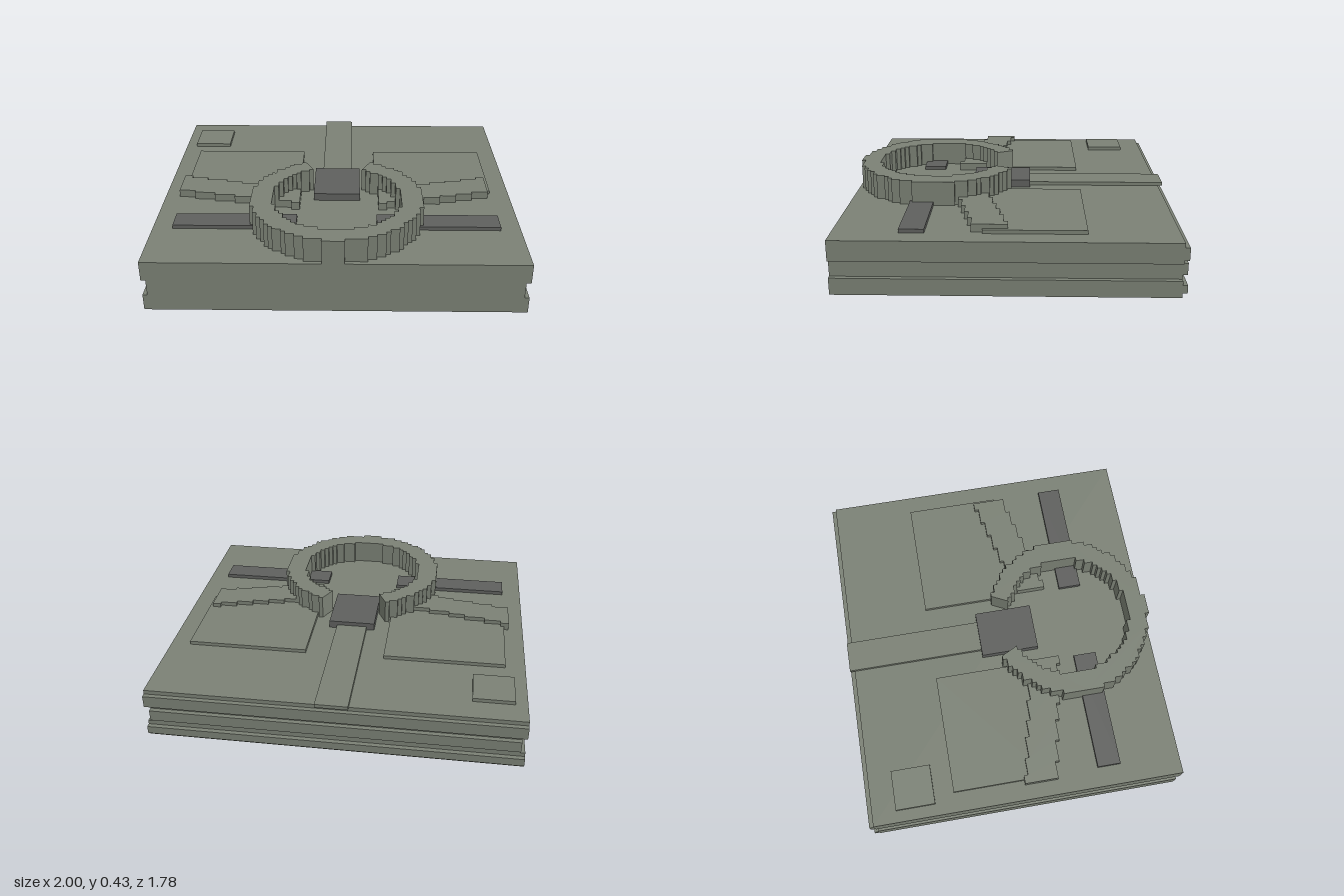
import * as THREE from 'three';

const STEP = 0.0235; // size of the stair steps along curved and sloped edges
const TOP = 0.29;    // upper face of the slab

export function createModel() {
  const stone = new THREE.MeshStandardMaterial({ name: 'grey green', color: 0x7b8175 });
  const dark = new THREE.MeshStandardMaterial({ name: 'dark grey', color: 0x5f605e });
  const model = new THREE.Group();
  model.name = 'plaque';

  const add = (name, geometry, material) => {
    const mesh = new THREE.Mesh(geometry, material);
    mesh.name = name;
    model.add(mesh);
    return mesh;
  };
  // Box given by its limits on each axis
  const block = (name, x0, x1, y0, y1, z0, z1, material = stone) =>
    add(name, new THREE.BoxGeometry(x1 - x0, y1 - y0, z1 - z0), material)
      .position.set((x0 + x1) / 2, (y0 + y1) / 2, (z0 + z1) / 2);

  // Follow a path of (x, z), snapped to a square grid so it runs in stairs
  const stairs = (path, cz, samples = 600) => {
    const out = [];
    let px, pz;
    for (let i = 0; i <= samples; i++) {
      const [x, z] = path(i / samples);
      const gx = Math.round(x / STEP), gz = Math.round((z - cz) / STEP);
      if (gx === px && gz === pz) continue;
      if (i > 0 && gx !== px && gz !== pz) out.push([gx, pz]);
      out.push([gx, gz]);
      px = gx; pz = gz;
    }
    return out.map(([x, z]) => new THREE.Vector2(x * STEP, z * STEP + cz));
  };
  // Plan outline (x, z) raised from the slab to the given height
  const raised = (name, points, height) => {
    const g = new THREE.ExtrudeGeometry(new THREE.Shape(points), { depth: height - TOP, bevelEnabled: false });
    g.rotateX(Math.PI / 2).translate(0, height, 0);
    return add(name, g, stone);
  };

  // Slab with a groove along each side
  const half = [[1, 0], [1, 0.09], [0.975, 0.09], [0.975, 0.18], [1, 0.18], [1, TOP]];
  const profile = [...half, ...half.map(([x, y]) => [-x, y]).reverse()].map(p => new THREE.Vector2(...p));
  const slab = new THREE.ExtrudeGeometry(new THREE.Shape(profile), { depth: 1.755, bevelEnabled: false });
  add('slab', slab.translate(0, 0, -0.865), stone);

  // Ribs across the back
  for (const [y0, y1, x] of [[0.024, 0.068, 1], [0.114, 0.176, 0.975], [0.2, 0.267, 1]])
    block('backRib', -x, x, y0, y1, -0.89, -0.865);

  // Low plates on top
  block('centreStrip', -0.09, 0.085, TOP, 0.31, -0.89, -0.1);
  block('cornerPlate', -0.935, -0.715, TOP, 0.31, -0.73, -0.51);
  for (const s of [-1, 1]) {
    const x0 = Math.min(s * 0.22, s * 0.89), x1 = Math.max(s * 0.22, s * 0.89);
    block('largePlate', x0, x1, TOP, 0.31, -0.4, 0.13);
    block('darkBar', x0, x1, TOP, 0.311, 0.42, 0.55, dark);
  }
  block('centreBlock', -0.135, 0.13, TOP, 0.333, -0.11, 0.22, dark);

  // Stepped arms running out from inside the ring
  const line = (x0, z0, x1, z1) => t => [x0 + (x1 - x0) * t, z0 + (z1 - z0) * t];
  for (const [tip, root, name] of [[-0.91, -0.205, 'rightArm'], [0.862, 0.235, 'leftArm']])
    raised(name, [
      ...stairs(line(tip, 0.005, root, 0.16), 0),
      ...stairs(line(root, 0.33, tip, 0.18), 0),
    ], 0.333);

  // Open ring with stepped walls, its gap facing the back
  const CZ = 0.42, gap = THREE.MathUtils.degToRad(25);
  const arc = (rx, rz, from, to) => t => {
    const a = from + (to - from) * t;
    return [rx * Math.sin(a), CZ - rz * Math.cos(a)];
  };
  const end = Math.PI * 2 - gap;
  raised('ring', [
    ...stairs(arc(20.1 * STEP, 19.65 * STEP, gap, end), CZ),
    ...stairs(arc(15.2 * STEP, 15.1 * STEP, end, gap), CZ),
  ], 0.425);

  return model;
}
